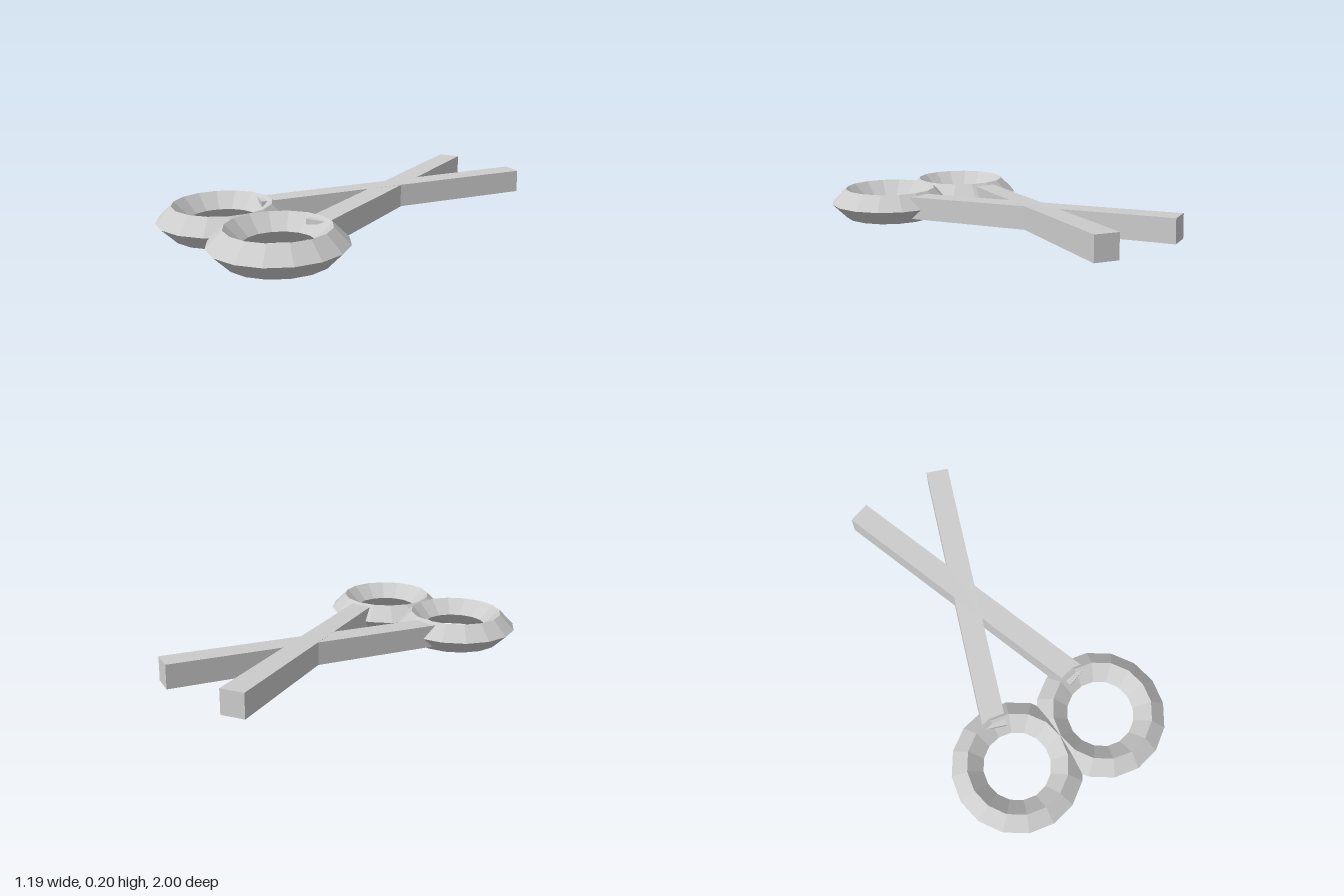
import * as THREE from 'three';

export function createModel() {
  const group = new THREE.Group();
  const steel = new THREE.MeshStandardMaterial({ color: 0xcccccc, flatShading: true });
  steel.name = 'steel';

  // square bar, slightly pitched up toward the back
  const bladeGeo = new THREE.BoxGeometry(0.122, 0.122, 1.515);
  // diamond-section finger ring lying flat
  const ringGeo = new THREE.TorusGeometry(0.2545, 0.0815, 4, 16).rotateX(-Math.PI / 2);

  for (const [side, s] of [['left', 1], ['right', -1]]) {
    const blade = new THREE.Mesh(bladeGeo, steel);
    blade.name = side + 'Blade';
    blade.position.set(0, 0.111, -0.268);
    blade.rotation.set(0.0325, s * 0.342, 0, 'YXZ');

    const ring = new THREE.Mesh(ringGeo, steel);
    ring.name = side + 'FingerRing';
    ring.position.set(s * 0.257, 0.0815, 0.663);

    group.add(blade, ring);
  }
  return group;
}
